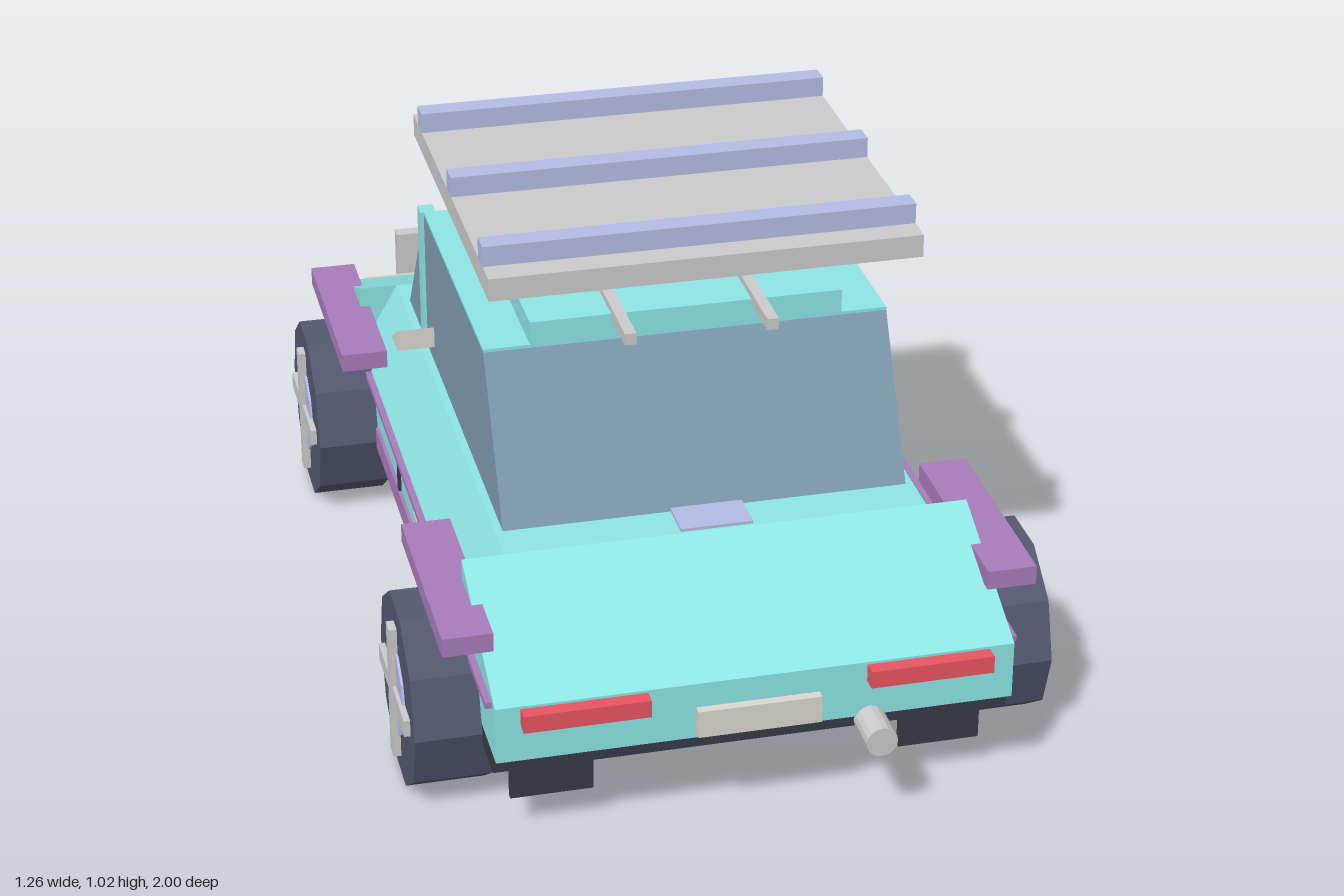
import * as THREE from 'three';

const mat = (color) => new THREE.MeshStandardMaterial({ color, flatShading: true });

export function createModel() {
  const car = new THREE.Group();
  car.name = 'car';

  const paint = mat(0x8ee6e6), glass = mat(0x7f9bb0), purple = mat(0xa87cba), dark = mat(0x3a3a46);
  const rubber = mat(0x545870), lavender = mat(0xb4bce4), grey = mat(0xcccccc);
  const red = mat(0xe85560), cream = mat(0xe6d2a0), yellow = mat(0xd8b848), pale = mat(0xdcd8d2);

  const add = (name, geometry, material, parent = car) => {
    const mesh = new THREE.Mesh(geometry, material);
    mesh.name = name;
    parent.add(mesh);
    return mesh;
  };

  // Box given by its extents on each axis
  const box = (name, material, [x0, x1], [y0, y1], [z0, z1], parent) => {
    const g = new THREE.BoxGeometry(x1 - x0, y1 - y0, z1 - z0);
    g.translate((x0 + x1) / 2, (y0 + y1) / 2, (z0 + z1) / 2);
    return add(name, g, material, parent);
  };

  // Same box on both sides of the car
  const pair = (name, material, [x0, x1], y, z) => {
    box(name + 'Left', material, [x0, x1], y, z);
    box(name + 'Right', material, [-x1, -x0], y, z);
  };

  const extrude = (points, depth) => {
    const shape = new THREE.Shape(points.map(([a, b]) => new THREE.Vector2(a, b)));
    return new THREE.ExtrudeGeometry(shape, { depth, bevelEnabled: false });
  };

  // Side profile of [z, y] points, spanning x0 to x1
  const sideProfile = (name, material, points, x0, x1) => {
    const g = extrude(points, x1 - x0);
    g.rotateY(-Math.PI / 2);
    g.translate(x1, 0, 0);
    return add(name, g, material);
  };

  // Body: floor, lower shell, sloped ends, tapered shoulders
  box('chassis', dark, [-0.49, 0.49], [0.17, 0.21], [-0.85, 0.89]);
  box('lowerBody', paint, [-0.49, 0.49], [0.21, 0.325], [-0.89, 0.92]);
  sideProfile('frontSlope', paint, [[0.615, 0.325], [0.92, 0.325], [0.615, 0.463]], -0.49, 0.49);
  sideProfile('backSlope', paint, [[-0.89, 0.325], [-0.56, 0.325], [-0.56, 0.463]], -0.49, 0.49);
  const shoulders = extrude([[-0.49, 0.325], [0.49, 0.325], [0.41, 0.463], [-0.41, 0.463]], 1.175);
  shoulders.translate(0, 0, -0.56);
  add('shoulders', shoulders, paint);

  // Cabin
  sideProfile('cabinGlass', glass,
    [[-0.48, 0.463], [0.53, 0.463], [0.37, 0.76], [-0.265, 0.76]], -0.395, 0.395);
  box('roofBase', paint, [-0.395, 0.395], [0.76, 0.766], [-0.265, 0.37]);
  box('roof', paint, [-0.305, 0.305], [0.766, 0.813], [-0.22, 0.37]);
  pair('pillar', paint, [0.37, 0.402], [0.463, 0.765], [-0.302, -0.265]);

  // Roof rails and the rack floating above
  pair('roofRail', grey, [0.126, 0.148], [0.803, 0.826], [-0.145, 0.485]);
  box('rackPlate', grey, [-0.412, 0.412], [0.945, 0.99], [-0.25, 0.53]);
  for (const z of [-0.175, 0.14, 0.455])
    box('rackBar', lavender, [-0.412, 0.412], [0.99, 1.03], [z - 0.022, z + 0.022]);

  // Small panels around the cabin base
  box('frontVent', lavender, [-0.07, 0.07], [0.46, 0.469], [0.52, 0.61]);
  box('backVent', lavender, [-0.07, 0.07], [0.46, 0.469], [-0.56, -0.48]);
  box('cowlStrip', lavender, [-0.33, 0.33], [0.46, 0.472], [-0.505, -0.475]);

  // Side trim
  pair('sideStripe', purple, [0.485, 0.503], [0.313, 0.325], [-0.85, 0.895]);
  pair('sill', purple, [0.46, 0.497], [0.183, 0.23], [-0.36, 0.40]);
  pair('doorHandle', grey, [0.485, 0.502], [0.285, 0.302], [0.135, 0.215]);
  for (const z of [-0.085, 0.275])
    pair('doorSeam', dark, [0.485, 0.496], [0.23, 0.315], [z - 0.007, z + 0.007]);
  for (const [x0, x1] of [[0.395, 0.472], [-0.472, -0.395]])
    sideProfile('wingMirror', pale, [[-0.25, 0.5], [-0.18, 0.5], [-0.18, 0.545]], x0, x1);

  // Fenders
  pair('frontFender', purple, [0.47, 0.565], [0.382, 0.42], [0.385, 0.815]);
  pair('backFender', purple, [0.47, 0.565], [0.382, 0.42], [-0.775, -0.34]);

  // Wheels: ten-sided tyre, hub and crossed spokes
  for (const side of [1, -1]) {
    for (const z of [0.6, -0.56]) {
      const wheel = new THREE.Group();
      wheel.name = 'wheel';
      const disc = (name, r, w, n, x, m) => {
        const g = new THREE.CylinderGeometry(r, r, w, n);
        g.rotateZ(Math.PI / 2);
        g.translate(x, 0, 0);
        add(name, g, m, wheel);
      };
      disc('tyre', 0.19, 0.15, 10, 0, rubber);
      disc('hub', 0.092, 0.16, 10, 0, lavender);
      box('spokeUpright', grey, [0.07, 0.09], [-0.14, 0.14], [-0.017, 0.017], wheel);
      box('spokeLevel', grey, [0.07, 0.087], [-0.017, 0.017], [-0.14, 0.14], wheel);
      wheel.position.set(side * 0.541, 0.19, z);
      if (side < 0) wheel.rotation.y = Math.PI;
      car.add(wheel);
    }
  }

  // +z end: red lights, plate, exhaust, mud flaps
  pair('redLight', red, [0.207, 0.443], [0.285, 0.32], [0.91, 0.948]);
  box('numberPlate', pale, [-0.117, 0.117], [0.22, 0.275], [0.915, 0.938]);
  const pipe = new THREE.CylinderGeometry(0.03, 0.03, 0.085, 16);
  pipe.rotateX(Math.PI / 2);
  pipe.translate(0.215, 0.2, 0.9575);
  add('exhaust', pipe, grey);
  pair('mudFlap', dark, [0.295, 0.452], [0.083, 0.19], [0.838, 0.852]);

  // -z end: lamps, grille, badge, splitter, push plate
  pair('lamp', cream, [0.213, 0.43], [0.283, 0.318], [-0.912, -0.88]);
  box('grille', dark, [-0.147, 0.147], [0.235, 0.3], [-0.92, -0.88]);
  box('badge', yellow, [-0.04, 0.04], [0.3, 0.325], [-0.915, -0.88]);
  sideProfile('splitter', grey, [[-0.98, 0.18], [-0.98, 0.222], [-0.892, 0.18]].reverse(), -0.47, 0.47);
  box('pushPlate', grey, [-0.342, 0.342], [0.235, 0.388], [-1.0, -0.968]);

  return car;
}
